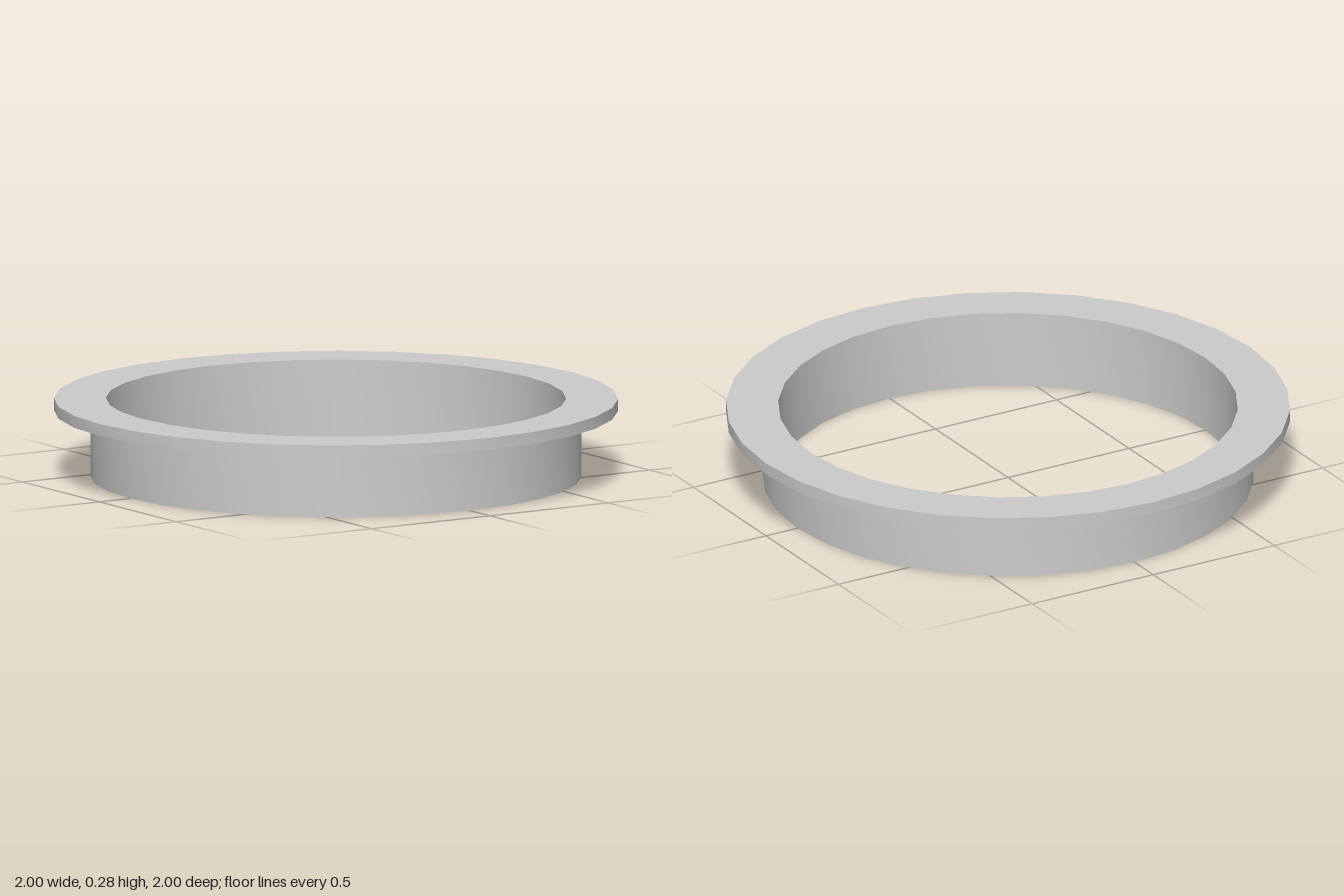
import * as THREE from 'three';
import { toCreasedNormals } from 'three/addons/utils/BufferGeometryUtils.js';

export function createModel() {
  const group = new THREE.Group();
  group.name = 'flangedRing';

  const inner = 0.815, outer = 0.87, rim = 1;
  const rimBottom = 0.237, top = 0.28;

  // Closed cross-section: sleeve wall with a thin flange around its top
  const profile = [
    [inner, 0], [outer, 0], [outer, rimBottom], [rim, rimBottom],
    [rim, top], [inner, top], [inner, 0],
  ].map(([r, y]) => new THREE.Vector2(r, y));

  // Smooth around the walls, sharp at the profile corners
  const geometry = toCreasedNormals(new THREE.LatheGeometry(profile, 32), 0.6);
  const ring = new THREE.Mesh(geometry, new THREE.MeshStandardMaterial({ color: 0xcccccc }));
  ring.name = 'sleeveWithFlange';
  group.add(ring);

  return group;
}
